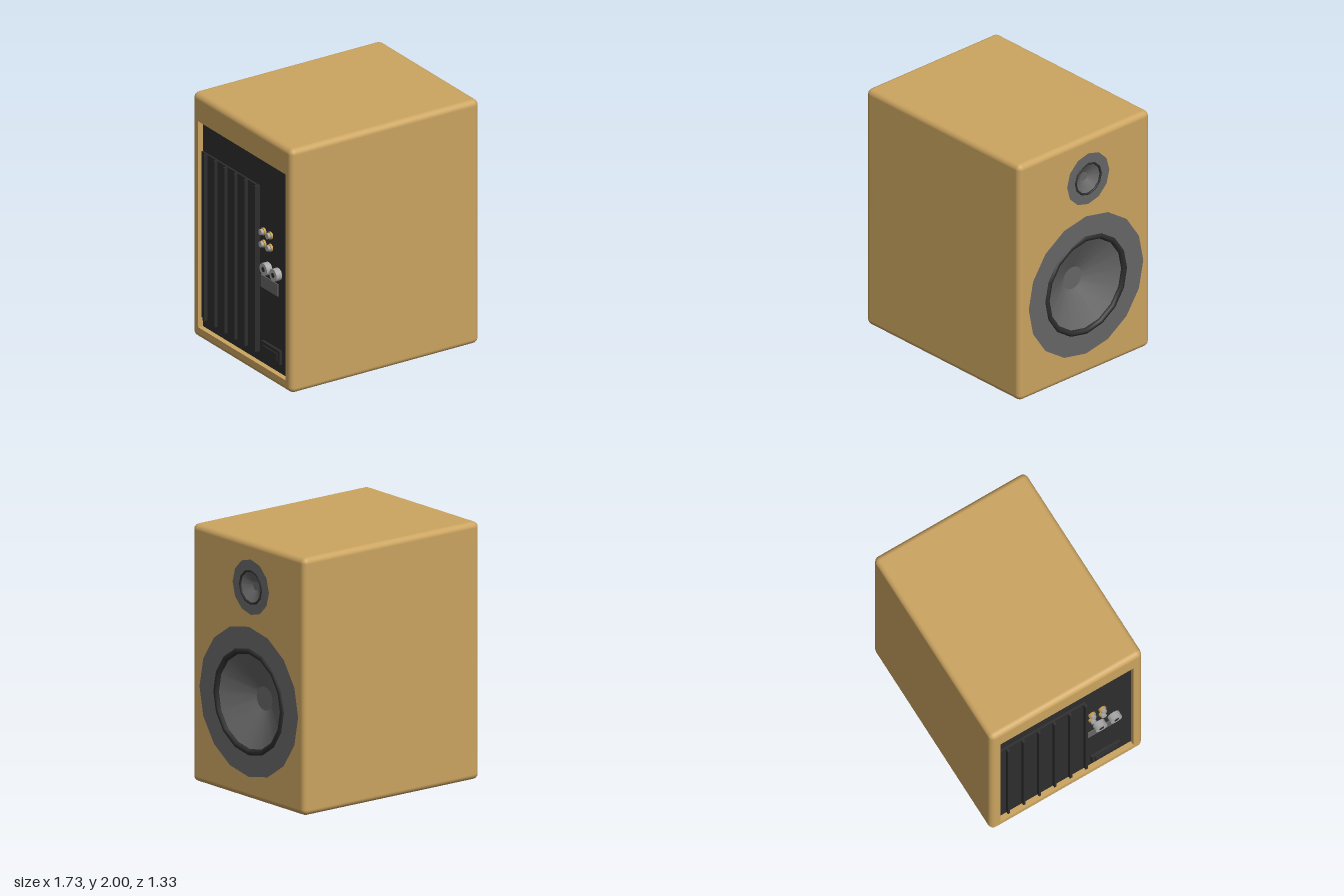
import * as THREE from 'three';
import { RoundedBoxGeometry } from 'three/addons/geometries/RoundedBoxGeometry.js';

const material = (name, color, side = THREE.FrontSide) => {
  const m = new THREE.MeshStandardMaterial({ color, side });
  m.name = name;
  return m;
};
const wood = material('wood', 0xcba460);
const black = material('black', 0x2d2d2d);
const grey = material('grey', 0x666666, THREE.DoubleSide);
const metal = material('metal', 0xa8a8a8);
const gold = material('gold', 0xc8a050);

const W = 1.7, H = 2, D = 1.333, R = 0.045;

function add(parent, name, geometry, mat, x = 0, y = 0, z = 0) {
  const mesh = new THREE.Mesh(geometry, mat);
  mesh.name = name;
  mesh.position.set(x, y, z);
  parent.add(mesh);
  return mesh;
}

// Box spanning local ranges
function slab(parent, name, mat, x0, x1, y0, y1, z0, z1) {
  return add(parent, name, new THREE.BoxGeometry(x1 - x0, y1 - y0, z1 - z0), mat,
    (x0 + x1) / 2, (y0 + y1) / 2, (z0 + z1) / 2);
}

// Cylinder pointing out of the panel (+z) between two depths
function peg(parent, name, mat, r, x, y, z0, z1) {
  const g = new THREE.CylinderGeometry(r, r, z1 - z0, 14).rotateX(Math.PI / 2);
  return add(parent, name, g, mat, x, y, (z0 + z1) / 2);
}

const rectangle = (x0, x1, y0, y1, Type = THREE.Shape) =>
  new Type([[x0, y0], [x1, y0], [x1, y1], [x0, y1]].map(p => new THREE.Vector2(...p)));

function polygonHole(x, y, r, sides) {
  const points = [];
  for (let i = 0; i < sides; i++) {
    const a = Math.PI / 2 + i / sides * Math.PI * 2;
    points.push(new THREE.Vector2(x + r * Math.cos(a), y + r * Math.sin(a)));
  }
  return new THREE.Path(points);
}

// Rounded cabinet without its flat front and back
function cabinetShell() {
  const source = new RoundedBoxGeometry(W, H, D, 4, R);
  const pos = source.attributes.position, nor = source.attributes.normal;
  const p = [], n = [];
  for (let i = 0; i < pos.count; i += 3) {
    if ([0, 1, 2].every(k => Math.abs(pos.getX(i + k)) > W / 2 - 1e-4)) continue;
    for (let k = i; k < i + 3; k++) {
      p.push(pos.getX(k), pos.getY(k), pos.getZ(k));
      n.push(nor.getX(k), nor.getY(k), nor.getZ(k));
    }
  }
  const g = new THREE.BufferGeometry();
  g.setAttribute('position', new THREE.Float32BufferAttribute(p, 3));
  g.setAttribute('normal', new THREE.Float32BufferAttribute(n, 3));
  return g;
}

// Board that closes one end of the cabinet, with openings
function board(parent, name, holes) {
  const shape = rectangle(-D / 2 + R, D / 2 - R, R, H - R);
  shape.holes.push(...holes);
  const g = new THREE.ExtrudeGeometry(shape, { depth: 0.045, bevelEnabled: false });
  add(parent, name, g, wood, 0, 0, -0.045);
}

// Mounting plate, surround, cone and centre cap
function driver(parent, name, d) {
  const g = new THREE.Group();
  g.name = name;
  g.position.set(d.x, d.y, 0);
  parent.add(g);
  add(g, 'mountingPlate', new THREE.RingGeometry(d.hole, d.plate, d.sides, 1, Math.PI / 2), grey, 0, 0, 0.002);
  add(g, 'surround', new THREE.TorusGeometry(d.hole, d.tube, 8, d.sides).rotateZ(Math.PI / 2), black, 0, 0, d.lift);
  const profile = [new THREE.Vector2(d.hole, 0), new THREE.Vector2(d.cap, -d.depth)];
  add(g, 'cone', new THREE.LatheGeometry(profile, d.sides).rotateX(Math.PI / 2), grey);
  add(g, 'centreCap', new THREE.CircleGeometry(d.cap, d.sides), grey, 0, 0, -d.depth);
}

export function createModel() {
  const model = new THREE.Group();
  model.name = 'loudspeaker';
  add(model, 'cabinet', cabinetShell(), wood, -0.005, H / 2, 0);

  // Driver side
  const front = new THREE.Group();
  front.name = 'driverSide';
  front.position.x = W / 2 - 0.005;
  front.rotation.y = Math.PI / 2;
  model.add(front);
  const drivers = {
    woofer: { x: 0.01, y: 0.755, plate: 0.583, hole: 0.394, tube: 0.025, lift: -0.009, cap: 0.093, depth: 0.15, sides: 16 },
    tweeter: { x: 0.033, y: 1.65, plate: 0.215, hole: 0.128, tube: 0.009, lift: 0, cap: 0.036, depth: 0.05, sides: 12 },
  };
  board(front, 'driverBoard', Object.values(drivers).map(d => polygonHole(d.x, d.y, d.hole, d.sides)));
  for (const [name, d] of Object.entries(drivers)) driver(front, name, d);

  // Connector side with a recessed panel
  const back = new THREE.Group();
  back.name = 'connectorSide';
  back.position.x = -W / 2 - 0.005;
  back.rotation.y = -Math.PI / 2;
  model.add(back);
  board(back, 'backFrame', [rectangle(-0.585, 0.585, 0.09, 1.78, THREE.Path)]);
  const floor = -0.042;
  slab(back, 'backPanel', black, -0.6, 0.6, 0.07, 1.8, -0.07, floor);

  // Heat sink with upright fins
  slab(back, 'heatSinkBase', black, -0.58, 0.18, 0.17, 1.53, floor, -0.025);
  for (let i = 0; i < 6; i++) {
    const x = -0.51 + i * 0.136;
    slab(back, 'heatSinkFin', black, x - 0.01, x + 0.01, 0.17, 1.53, floor, 0.003);
  }

  // Small sockets in two rows
  for (const x of [0.24, 0.33]) {
    for (const y of [1.075, 1.175]) {
      peg(back, 'socketCollar', gold, 0.03, x, y, floor, -0.025);
      peg(back, 'socket', metal, 0.023, x, y, -0.025, -0.003);
    }
  }

  // Large binding posts
  for (const x of [0.3, 0.43]) {
    peg(back, 'bindingPost', metal, 0.05, x, 0.895, floor, 0.008);
    peg(back, 'bindingPostHole', black, 0.02, x, 0.895, 0.006, 0.01);
  }

  // Plain plate and power switch housing
  slab(back, 'infoPlate', grey, 0.2, 0.43, 0.71, 0.81, floor, floor + 0.008);
  slab(back, 'switchHousing', black, 0.23, 0.48, 0.17, 0.28, floor, -0.02);
  slab(back, 'switch', black, 0.26, 0.45, 0.195, 0.255, -0.02, -0.01);
  return model;
}
